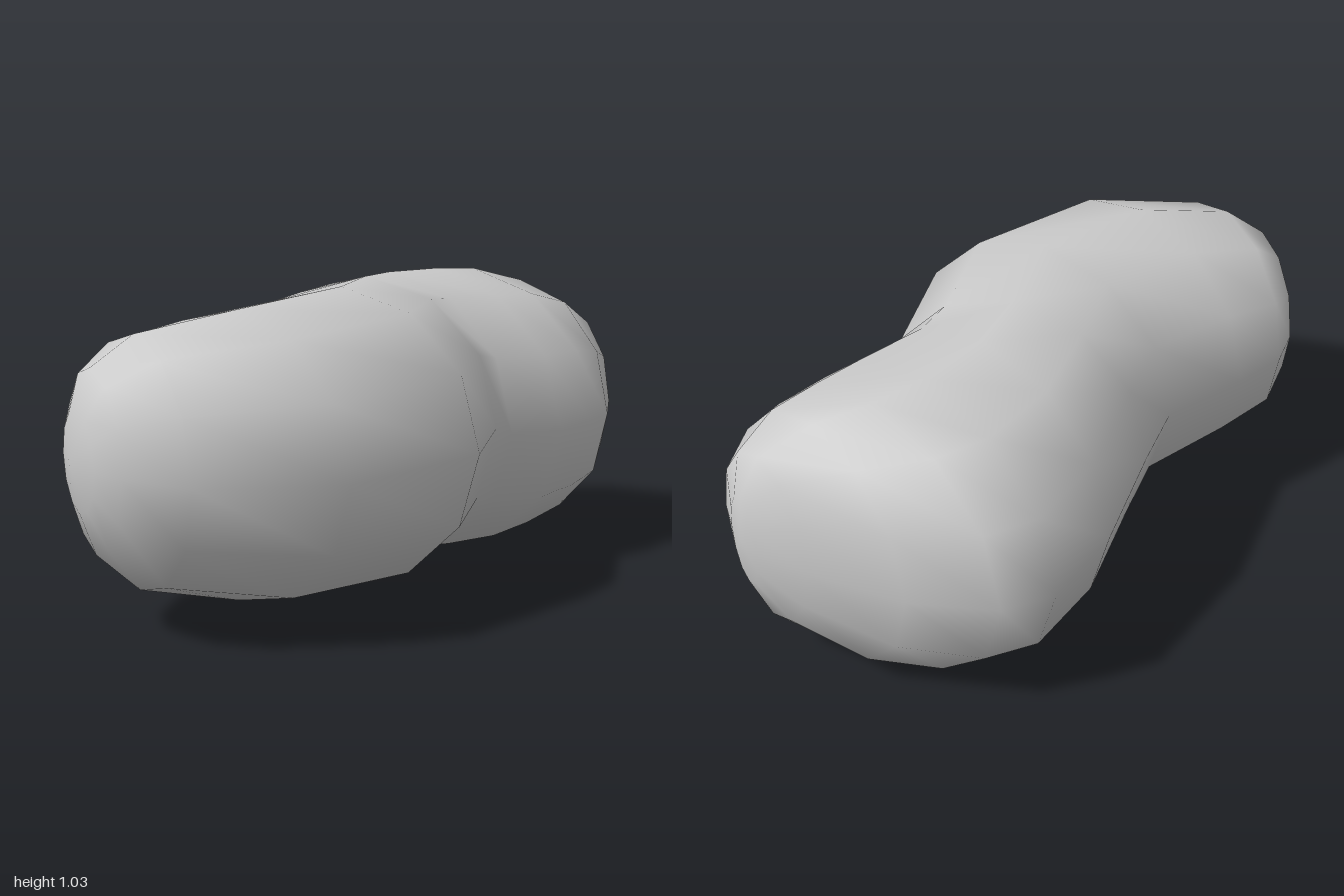
import * as THREE from 'three';

// Cross-sections from the front end to the back end:
// edge x, z on the right, edge x, z on the left, top y, bottom y
const SECTIONS = [
  [-0.65, 0.79, -0.44, 0.98, 0.73, 0.41],
  [-0.685, 0.70, -0.34, 1.0, 0.855, 0.275],
  [-0.69, 0.57, -0.12, 0.985, 0.95, 0.155],
  [-0.61, 0.40, 0.28, 0.76, 1.005, 0.09],
  [-0.46, 0.13, 0.51, 0.26, 1.03, 0.06],
  [-0.47, -0.1, 0.44, -0.14, 1.015, 0.05],
  [-0.50, -0.48, 0.48, -0.19, 1.0, 0.015],
  [-0.45, -0.77, 0.60, -0.36, 0.985, 0.0],
  [-0.33, -0.90, 0.66, -0.53, 0.97, 0.015],
  [-0.06, -0.985, 0.685, -0.66, 0.92, 0.065],
  [0.26, -1.0, 0.65, -0.82, 0.815, 0.195],
  [0.44, -0.985, 0.58, -0.90, 0.665, 0.34],
];
const FRONT_TIP = [-0.56, 0.91, 0.57];
const BACK_TIP = [0.52, -0.95, 0.505];
const SIDES = 12;

// Closed skin through upright elliptical rings, with a point at each end
function loft(sections, front, back) {
  const pos = [];
  const index = [];
  for (const [x0, z0, x1, z1, top, bottom] of sections) {
    for (let j = 0; j < SIDES; j++) {
      const a = (j / SIDES) * Math.PI * 2;
      const c = Math.cos(a) / 2;
      pos.push(
        (x0 + x1) / 2 + c * (x1 - x0),
        (top + bottom) / 2 + (Math.sin(a) / 2) * (top - bottom),
        (z0 + z1) / 2 + c * (z1 - z0)
      );
    }
  }
  const tipA = pos.length / 3;
  const tipB = tipA + 1;
  pos.push(front[0], front[2], front[1], back[0], back[2], back[1]);
  const last = (sections.length - 1) * SIDES;
  for (let j = 0; j < SIDES; j++) {
    const k = (j + 1) % SIDES;
    for (let r = 0; r < last; r += SIDES) {
      index.push(r + j, r + SIDES + j, r + k);
      index.push(r + k, r + SIDES + j, r + SIDES + k);
    }
    index.push(tipA, j, k);
    index.push(tipB, last + k, last + j);
  }
  const geo = new THREE.BufferGeometry();
  geo.setAttribute('position', new THREE.Float32BufferAttribute(pos, 3));
  geo.setIndex(index);
  geo.computeVertexNormals();
  return geo;
}

export function createModel() {
  const group = new THREE.Group();
  group.name = 'bentCapsule';
  const body = new THREE.Mesh(
    loft(SECTIONS, FRONT_TIP, BACK_TIP),
    new THREE.MeshStandardMaterial({ color: 0xcccccc })
  );
  body.name = 'body';
  group.add(body);
  return group;
}
